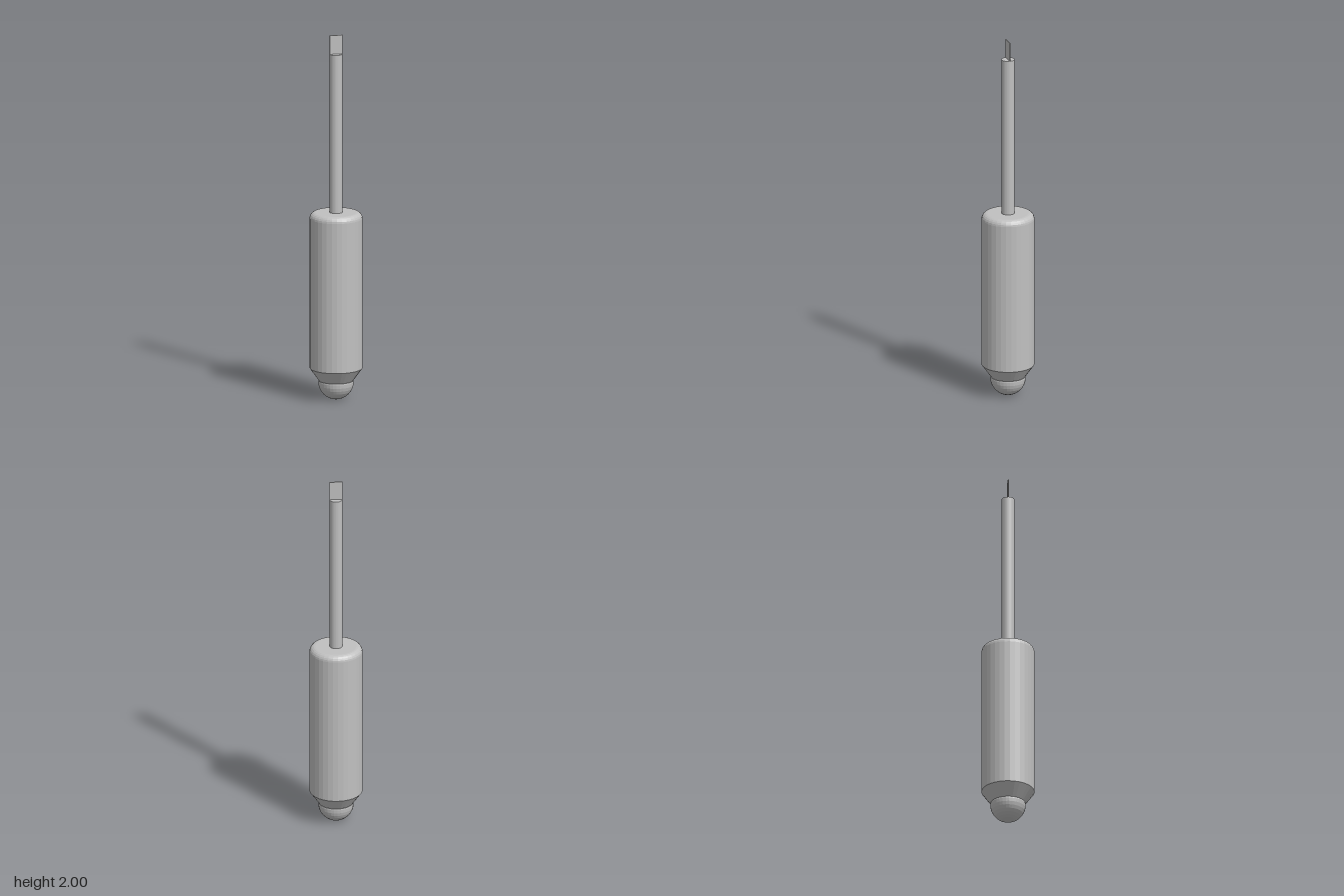
import * as THREE from 'three';

const SIDES = 32;

export function createModel() {
  const group = new THREE.Group();
  group.name = 'screwdriver';
  const grey = new THREE.MeshStandardMaterial({ color: 0xc0c0c0, flatShading: true });
  grey.name = 'grey';

  const add = (name, geometry, y = 0) => {
    const mesh = new THREE.Mesh(geometry, grey);
    mesh.name = name;
    mesh.position.y = y;
    group.add(mesh);
  };

  // Points on an arc, from angle a to b
  const arc = (cx, cy, r, a, b, steps) =>
    Array.from({ length: steps + 1 }, (_, i) => {
      const t = a + ((b - a) * i) / steps;
      return new THREE.Vector2(Math.max(0, cx + r * Math.cos(t)), cy + r * Math.sin(t));
    });

  // Rounded butt: a half ball closed by a flat top
  const butt = arc(0, 0.095, 0.095, -Math.PI / 2, 0, 8);
  butt.push(new THREE.Vector2(0.094, 0.103), new THREE.Vector2(0, 0.103));
  add('buttBall', new THREE.LatheGeometry(butt, SIDES));

  // Tapered collar under the grip
  add('collar', new THREE.CylinderGeometry(0.142, 0.09, 0.072, SIDES, 1, true), 0.136);

  // Grip with a rounded upper edge
  const grip = [
    new THREE.Vector2(0.142, 0.172),
    ...arc(0.11, 0.995, 0.032, 0, Math.PI / 2, 5),
    new THREE.Vector2(0, 1.027),
  ];
  add('grip', new THREE.LatheGeometry(grip, SIDES));

  // Shaft and flat blade
  add('shaft', new THREE.CylinderGeometry(0.035, 0.035, 0.877, SIDES), 1.4585);
  add('blade', new THREE.BoxGeometry(0.07, 0.11, 0.006), 1.945);

  return group;
}
